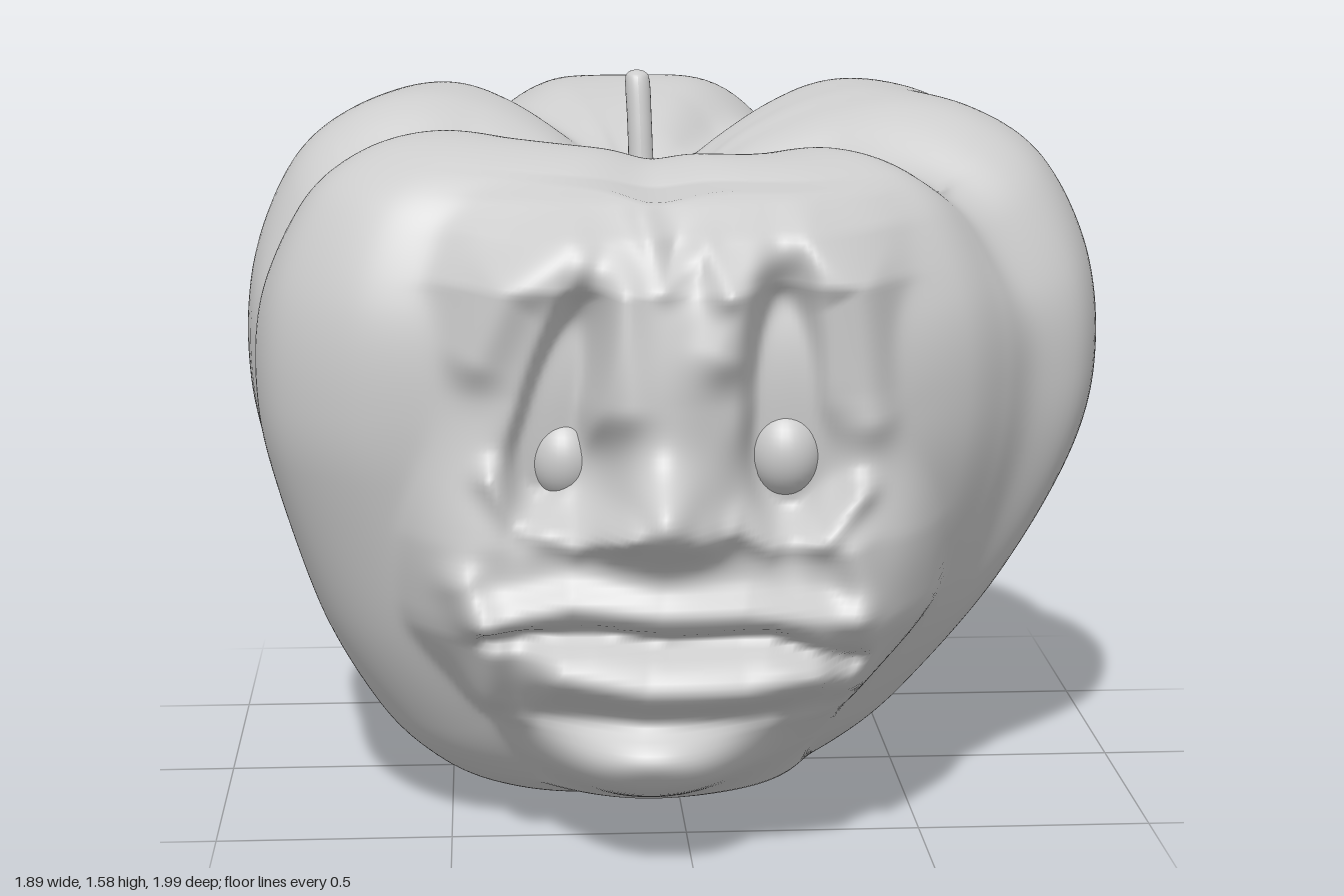
import * as THREE from 'three';

const CX = -0.07; // axis of the pumpkin
const V2 = (p) => new THREE.Vector2(p[0], p[1]);
const { smoothstep, lerp } = THREE.MathUtils;

// Plan outline (x, z), starting at the front and running round by +x
const OUTLINE = [
  [-.07, .67], [.2, .71], [.4, .69], [.58, .58], [.68, .45], [.75, .35], [.88, .25], [.94, .05],
  [.93, -.08], [.86, -.23], [.83, -.38], [.75, -.52], [.55, -.65], [.4, -.69], [.33, -.82], [.2, -.93],
  [-.1, -1], [-.3, -.95], [-.41, -.82], [-.52, -.69], [-.66, -.64], [-.79, -.5], [-.88, -.3], [-.94, -.08],
  [-.93, .08], [-.9, .2], [-.9, .35], [-.85, .5], [-.7, .63], [-.5, .68], [-.3, .7],
];

// Vertical profile (scale of the outline, y), from the base to the hollow round the stem
const PROFILE = [
  [0, 0], [.23, .008], [.4, .05], [.53, .115], [.66, .23], [.83, .46], [.96, .75], [1, .97], [.975, 1.2],
  [.88, 1.4], [.74, 1.505], [.57, 1.545], [.4, 1.52], [.25, 1.45], [.13, 1.36], [.06, 1.31], [0, 1.295],
];

// Dips in the crown: [angle, width, depth] in degrees, angle measured from +x towards +z
const DIPS = [
  [23, 9, .09], [-55, 10, .12], [-126, 10, .07], [168, 10, .1], // main grooves
  [90, 60, .09], [48, 22, .03], [-92, 25, .03], [90, 8, .02],   // lower front and back lobes
];

// Depth of the face plane at each height
const DEPTH = [[0, -.3], [.015, .24], [.09, .52], [.2, .64], [.3, .73], [.5, .8], [.7, .82], [1, .8], [1.22, .8], [1.32, .73], [1.38, .65], [1.42, .55], [1.46, .2]];

// Rounded bumps and hollows: x, y, half width, half height, tilt, height, sharpness
const BUMPS = [
  [-.06, .98, .1, .26, 0, .06, 2],       // nose bridge
  [-.07, .78, .085, .085, 0, .14, 2],    // nose tip
  [-.16, .74, .05, .045, 0, .05, 2],     // nostril wings
  [.02, .74, .05, .045, 0, .05, 2],
  [-.27, 1.0, .06, .24, -.3, -.13, 4],   // eye sockets
  [.18, 1.0, .07, .27, .03, -.13, 4],
  [-.26, .85, .11, .1, 0, -.09, 3],
  [.2, .85, .11, .11, 0, -.09, 3],
  [-.52, .68, .16, .22, .1, .07, 2],     // cheeks
  [.47, .68, .15, .22, -.1, .07, 2],
  [-.09, .215, .2, .1, 0, .16, 3],       // chin
  [-.03, 1.28, .06, .06, 0, -.03, 2],    // forehead dimple
];

// Ridges (positive) and creases (negative): width, height, path
const RIDGES = [
  [.045, .055, [[-.42, .55], [-.25, .59], [-.07, .57], [.1, .57], [.32, .54]]],     // upper lip
  [.022, -.05, [[-.42, .51], [-.2, .52], [-.05, .5], [.15, .505], [.33, .44]]],     // mouth line
  [.065, .1, [[-.27, .44], [-.1, .41], [.1, .41], [.24, .43]]],                     // lower lip
  [.035, -.02, [[-.3, .32], [-.08, .315], [.15, .33]]],                             // fold over the chin
  [.045, .04, [[-.47, .62], [-.41, .5], [-.42, .36]]],                              // mouth corners
  [.045, .04, [[.32, .68], [.37, .52], [.33, .38]]],
  [.04, -.05, [[-.62, .88], [-.7, .68], [-.63, .45], [-.45, .27]]],                 // cheek creases
  [.04, -.05, [[.5, .95], [.6, .72], [.57, .5], [.38, .27]]],
  [.06, .045, [[-.44, 1.08], [-.38, 1.22], [-.25, 1.3], [-.16, 1.22], [-.15, 1]]],  // brows
  [.06, .045, [[.06, 1.1], [.1, 1.25], [.22, 1.31], [.34, 1.22], [.37, .95]]],
  [.03, .035, [[-.41, .84], [-.34, .75], [-.24, .72], [-.14, .76]]],                // lower lids
  [.03, .035, [[.08, .75], [.16, .71], [.26, .71], [.34, .8]]],
  [.03, .025, [[-.1, 1.36], [-.06, 1.24], [.02, 1.3], [.06, 1.22]]],                // frown folds
];

function pathDistance(x, y, path) {
  let best = 9;
  for (let i = 0; i + 1 < path.length; i++) {
    const [ax, ay] = path[i], dx = path[i + 1][0] - ax, dy = path[i + 1][1] - ay;
    const t = Math.min(1, Math.max(0, ((x - ax) * dx + (y - ay) * dy) / (dx * dx + dy * dy)));
    best = Math.min(best, Math.hypot(x - ax - t * dx, y - ay - t * dy));
  }
  return best;
}

// z of the carved face at (x, y)
function faceDepth(x, y) {
  let i = 0;
  while (i < DEPTH.length - 2 && y > DEPTH[i + 1][0]) i++;
  const [y0, d0] = DEPTH[i], [y1, d1] = DEPTH[i + 1];
  const dx = (x + .05) / lerp(.6, 1, smoothstep(y, .08, .55));
  let z = lerp(d0, d1, Math.min(1, (y - y0) / (y1 - y0))) - .4 * dx ** 2 - 1.1 * dx ** 4 - 5 * dx ** 8;
  for (const [bx, by, w, h, tilt, amp, power] of BUMPS) {
    const c = Math.cos(tilt), s = Math.sin(tilt);
    const u = (c * (x - bx) + s * (y - by)) / w, v = (c * (y - by) - s * (x - bx)) / h;
    z += amp * Math.exp(-(Math.hypot(u, v) ** power));
  }
  for (const [w, amp, path] of RIDGES) z += amp * Math.exp(-((pathDistance(x, y, path) / w) ** 2));
  return z;
}

// Lobed body with the face raised from its front
function bodyGeometry() {
  const NU = 280, NV = 210, BLUR = 16;
  const outline = new THREE.CatmullRomCurve3(OUTLINE.map(([x, z]) => new THREE.Vector3(x, 0, z)), true);
  outline.arcLengthDivisions = 800;
  const profile = new THREE.SplineCurve(PROFILE.map(V2)).getSpacedPoints(NV);
  const ring = [];
  for (let i = 0; i < NU; i++) {
    const t = i / NU; // closer spacing round the face
    ring.push(outline.getPointAt(t - .085 * Math.sin(2 * Math.PI * t)));
  }
  // Softer outline towards the base, where the grooves fade
  const softRing = ring.map((_, i) => {
    const sum = new THREE.Vector3();
    for (let k = -BLUR; k <= BLUR; k++) sum.add(ring[(i + k + NU) % NU]);
    return sum.multiplyScalar(1.02 / (2 * BLUR + 1));
  });
  const angles = ring.map((p) => THREE.MathUtils.radToDeg(Math.atan2(p.z, p.x - CX)));
  // Grooves spread wider in angle towards the stem
  const dip = (angle, s) => DIPS.reduce((sum, [a, w, depth]) => {
    const d = ((angle - a + 540) % 360) - 180;
    return sum + depth * Math.exp(-((d / (w * (1.7 - .7 * s))) ** 2));
  }, 0);
  const pos = [], index = [], p = new THREE.Vector3();
  profile.forEach((q, j) => {
    const s = Math.max(0, q.x);
    const crown = smoothstep(q.y, .95, 1.4) * smoothstep(s, .03, .45);
    const shift = 1 - smoothstep(q.y, 0, .8); // the base sits forward and to one side
    for (let i = 0; i < NU; i++) {
      p.lerpVectors(softRing[i], ring[i], smoothstep(q.y, .1, .95));
      const x = CX + (p.x - CX) * s - .05 * shift;
      const y = Math.max(0, q.y - dip(angles[i], s) * crown);
      let z = p.z * s + .06 * shift;
      if (z > 0 && j < NV * .72) {
        const d = faceDepth(x, y) - z;
        z += .5 * (d + Math.sqrt(d * d + .0006));
      }
      pos.push(x, y, z);
      if (j < NV) {
        const a = j * NU + i, b = j * NU + (i + 1) % NU;
        index.push(a, b, b + NU, a, b + NU, a + NU);
      }
    }
  });
  const g = new THREE.BufferGeometry();
  g.setAttribute('position', new THREE.Float32BufferAttribute(pos, 3));
  g.setIndex(index);
  g.computeVertexNormals();
  return g;
}

export function createModel() {
  const group = new THREE.Group();
  const material = new THREE.MeshStandardMaterial({ color: 0xcccccc });
  const add = (name, geometry, x = 0, y = 0, z = 0) => {
    const mesh = new THREE.Mesh(geometry, material);
    mesh.name = name;
    mesh.position.set(x, y, z);
    group.add(mesh);
    return mesh;
  };

  add('pumpkinBody', bodyGeometry());

  // Eyeballs set in the sockets
  add('rightEye', new THREE.SphereGeometry(.08, 32, 20), -.26, .86, .65).scale.set(.9, 1.1, 1);
  add('leftEye', new THREE.SphereGeometry(.085, 32, 20), .19, .87, .66).scale.set(.9, 1.1, 1);

  // Stem, flared at the foot and leaning back
  const stem = new THREE.LatheGeometry(
    new THREE.SplineCurve([[.08, 0], [.045, .035], [.029, .1], [.027, .2], [.027, .285], [.018, .305], [0, .31]].map(V2)).getPoints(42), 24);
  const sp = stem.attributes.position;
  for (let i = 0; i < sp.count; i++) {
    const y = sp.getY(i);
    sp.setX(i, sp.getX(i) - .08 * y * y);
    sp.setZ(i, sp.getZ(i) * 1.1 - .45 * y * y);
  }
  stem.computeVertexNormals();
  add('stem', stem, -.07, 1.27, .02);

  return group;
}
